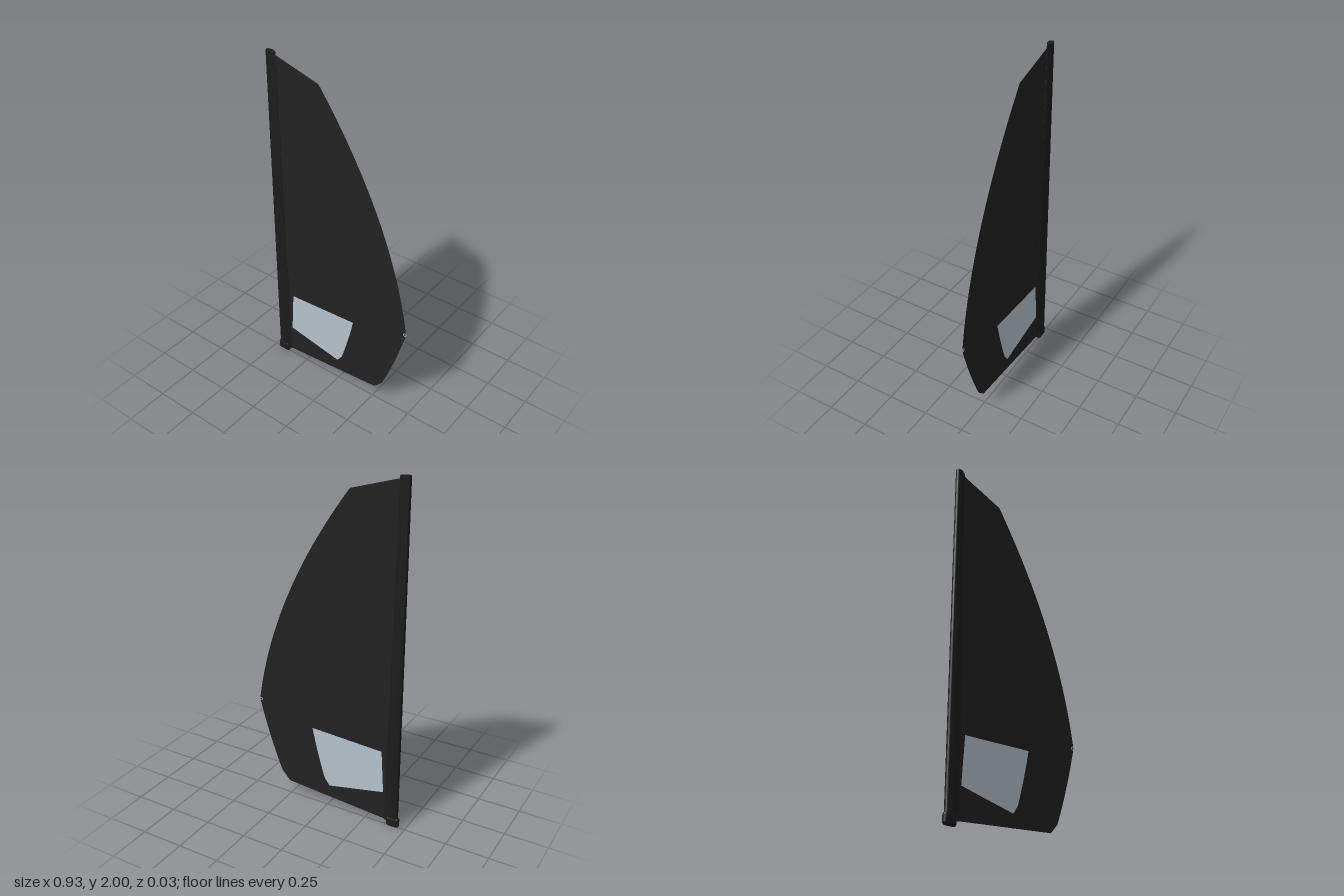
import * as THREE from 'three';
import { toCreasedNormals } from 'three/addons/utils/BufferGeometryUtils.js';
import { RoundedBoxGeometry } from 'three/addons/geometries/RoundedBoxGeometry.js';

// Mast sleeve: teardrop sections, wider towards the foot
function sleeveGeometry() {
  const nose = -0.457, r = 0.0145, steps = 14;
  const levels = [[0.03, -0.369], [1, -0.384], [1.994, -0.397], [2, -0.4]];
  const section = (trail) => {
    const shoulder = nose + (trail - nose) * 0.6;
    const pts = [[trail, 0.001], [shoulder, 0.0135]];
    for (let i = 0; i <= steps; i++) {
      const a = Math.PI / 2 + (Math.PI * i) / steps;
      pts.push([nose + r + r * Math.cos(a), r * Math.sin(a)]);
    }
    pts.push([shoulder, -0.0135], [trail, -0.001]);
    return pts;
  };
  const positions = [], index = [];
  let n = 0;
  for (const [y, trail] of levels) {
    const pts = section(trail);
    n = pts.length;
    for (const [x, z] of pts) positions.push(x, y, z);
  }
  for (let l = 0; l < levels.length - 1; l++) {
    for (let i = 0; i < n; i++) {
      const a = l * n + i, b = l * n + ((i + 1) % n);
      index.push(a, a + n, b, b, a + n, b + n);
    }
  }
  const top = (levels.length - 1) * n;
  for (let i = 1; i < n - 1; i++) {
    index.push(0, i, i + 1);
    index.push(top, top + i + 1, top + i);
  }
  const geo = new THREE.BufferGeometry();
  geo.setAttribute('position', new THREE.Float32BufferAttribute(positions, 3));
  geo.setIndex(index);
  return toCreasedNormals(geo, 0.6);
}

// Window outline, shared by the hole in the cloth and the clear panel
function traceWindow(path) {
  path.moveTo(-0.36, 0.205);
  path.lineTo(-0.012, 0.133);
  path.lineTo(0.02, 0.178);
  path.quadraticCurveTo(0.065, 0.32, 0.1, 0.486);
  path.lineTo(-0.343, 0.463);
  path.closePath();
  return path;
}

export function createModel() {
  const model = new THREE.Group();
  model.name = 'sail';

  const cloth = new THREE.MeshStandardMaterial({ color: 0x222222, side: THREE.DoubleSide });
  cloth.name = 'black sailcloth';
  const mastBlack = new THREE.MeshStandardMaterial({ color: 0x1c1c1c });
  mastBlack.name = 'mast black';
  const clear = new THREE.MeshStandardMaterial({ color: 0xb6c2cc, side: THREE.DoubleSide });
  clear.name = 'pale window';
  const metal = new THREE.MeshStandardMaterial({ color: 0xa8acb0 });
  metal.name = 'grey metal';

  const add = (name, geometry, material) => {
    const mesh = new THREE.Mesh(geometry, material);
    mesh.name = name;
    model.add(mesh);
    return mesh;
  };

  // Sail cloth with curved leech, clipped foot corner and window opening
  const outline = new THREE.Shape();
  outline.moveTo(-0.42, 0.028);
  outline.lineTo(0.26, 0.08);
  outline.lineTo(0.312, 0.135);
  outline.quadraticCurveTo(0.393, 0.33, 0.457, 0.583);
  outline.quadraticCurveTo(0.352, 1.255, -0.127, 1.902);
  outline.lineTo(-0.42, 1.988);
  outline.closePath();
  outline.holes.push(traceWindow(new THREE.Path()));
  add('sailCloth', new THREE.ShapeGeometry(outline, 28), cloth);

  // Clear panel
  add('window', new THREE.ShapeGeometry(traceWindow(new THREE.Shape()), 12), clear);

  // Mast sleeve and foot
  add('mastSleeve', sleeveGeometry(), mastBlack);
  add('mastFoot', new RoundedBoxGeometry(0.078, 0.064, 0.032, 4, 0.0155), mastBlack)
    .position.set(-0.426, 0.032, 0);

  // Eyelet at the clew
  add('clewEyelet', new THREE.TorusGeometry(0.0085, 0.0025, 8, 24), metal)
    .position.set(0.449, 0.583, 0);

  return model;
}
